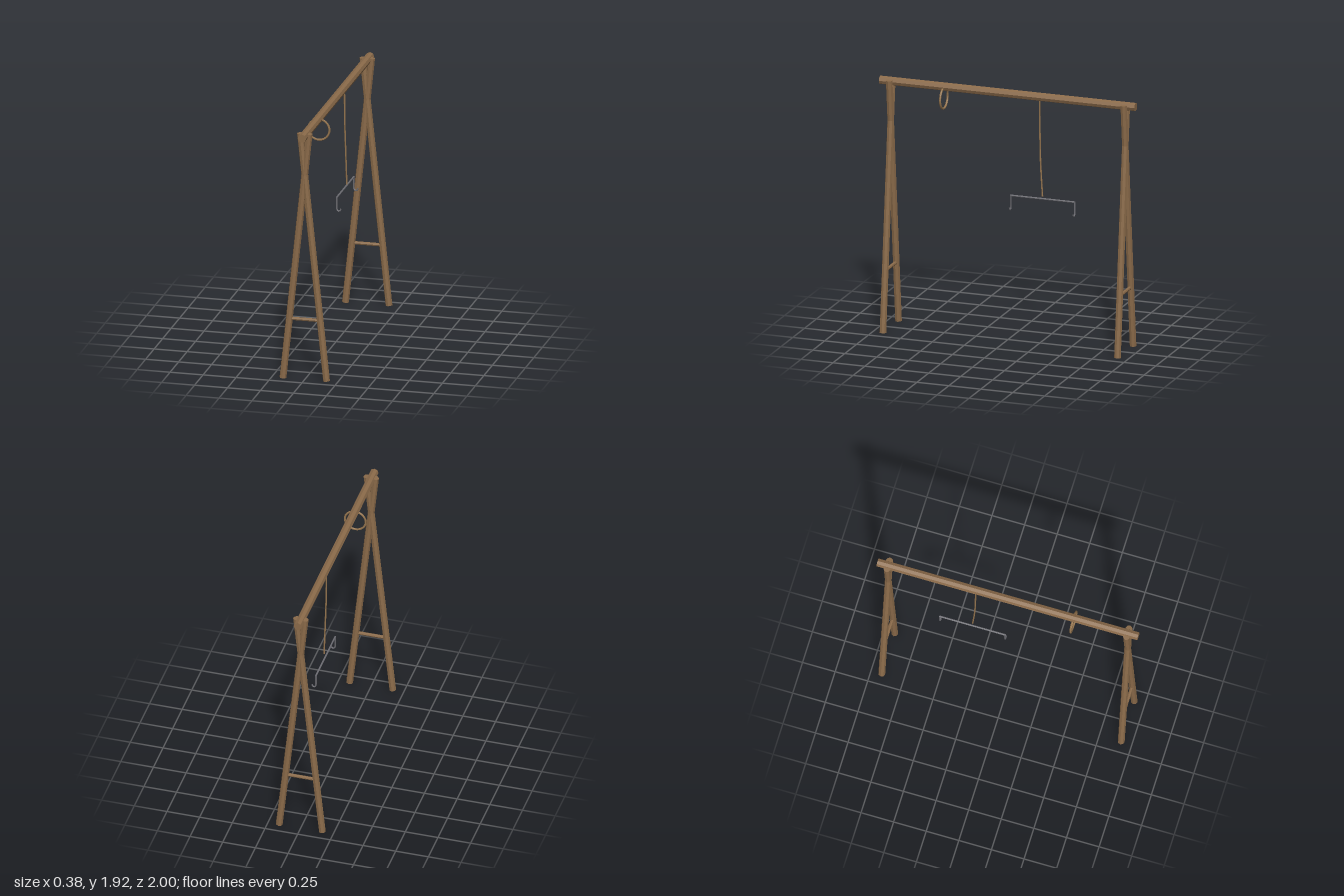
import * as THREE from 'three';

const V = (x, y, z) => new THREE.Vector3(x, y, z);
const material = (name, color) => {
  const m = new THREE.MeshStandardMaterial({ color, flatShading: true });
  m.name = name;
  return m;
};

export function createModel() {
  const root = new THREE.Group();
  root.name = 'hangingFrame';
  const wood = material('wood', 0x8b6b4a);
  const rope = material('rope', 0x94744e);
  const metal = material('metal', 0x6c6c72);

  const add = (name, geometry, mat, parent = root) => {
    const mesh = new THREE.Mesh(geometry, mat);
    mesh.name = name;
    parent.add(mesh);
    return mesh;
  };
  // Straight pole between two points
  const pole = (name, a, b, radius, mat, parent, sides = 8) => {
    const dir = b.clone().sub(a);
    const mesh = add(name, new THREE.CylinderGeometry(radius, radius, dir.length(), sides), mat, parent);
    mesh.position.copy(a).add(b).multiplyScalar(0.5);
    mesh.quaternion.setFromUnitVectors(V(0, 1, 0), dir.normalize());
    return mesh;
  };

  // Ridge beam
  pole('ridgeBeam', V(0, 1.888, -1), V(0, 1.888, 1), 0.032, wood, root);

  // Crossed legs with a brace at each end
  for (const s of [1, -1]) {
    const end = new THREE.Group();
    end.name = s > 0 ? 'frontTrestle' : 'backTrestle';
    const z = s * 0.918;
    for (const side of [1, -1]) {
      pole(side > 0 ? 'leftLeg' : 'rightLeg',
        V(side * 0.165, 0.003, z), V(-side * 0.033, 1.902, z), 0.026, wood, end);
    }
    pole('brace', V(-0.115, 0.465, z), V(0.115, 0.465, z), 0.013, wood, end);
    root.add(end);
  }

  // Rope loop around the beam
  add('ropeLoop', new THREE.TorusGeometry(0.08, 0.008, 6, 28), rope).position.set(0, 1.8, 0.502);

  // Hanging rope
  const ropePath = new THREE.CatmullRomCurve3([
    V(0, 1.87, -0.247), V(0.002, 1.6, -0.251), V(0.007, 1.38, -0.258), V(0.011, 1.13, -0.274),
  ]);
  add('hangingRope', new THREE.TubeGeometry(ropePath, 14, 0.006, 6), rope);

  // Spreader bar with a hook at each end
  const hanger = new THREE.Group();
  hanger.name = 'hookBar';
  pole('spreaderBar', V(0, 1.108, -0.527), V(0, 1.108, -0.018), 0.007, metal, hanger);
  for (const z of [-0.522, -0.023]) {
    pole('hookStem', V(0, 1.108, z), V(0, 1.025, z), 0.006, metal, hanger, 6);
    const bend = new THREE.CatmullRomCurve3([
      V(0, 1.03, z), V(0.003, 1.012, z), V(0.015, 1.003, z), V(0.027, 1.01, z), V(0.031, 1.025, z),
    ]);
    add('hookBend', new THREE.TubeGeometry(bend, 10, 0.006, 6), metal, hanger);
  }
  root.add(hanger);

  return root;
}
